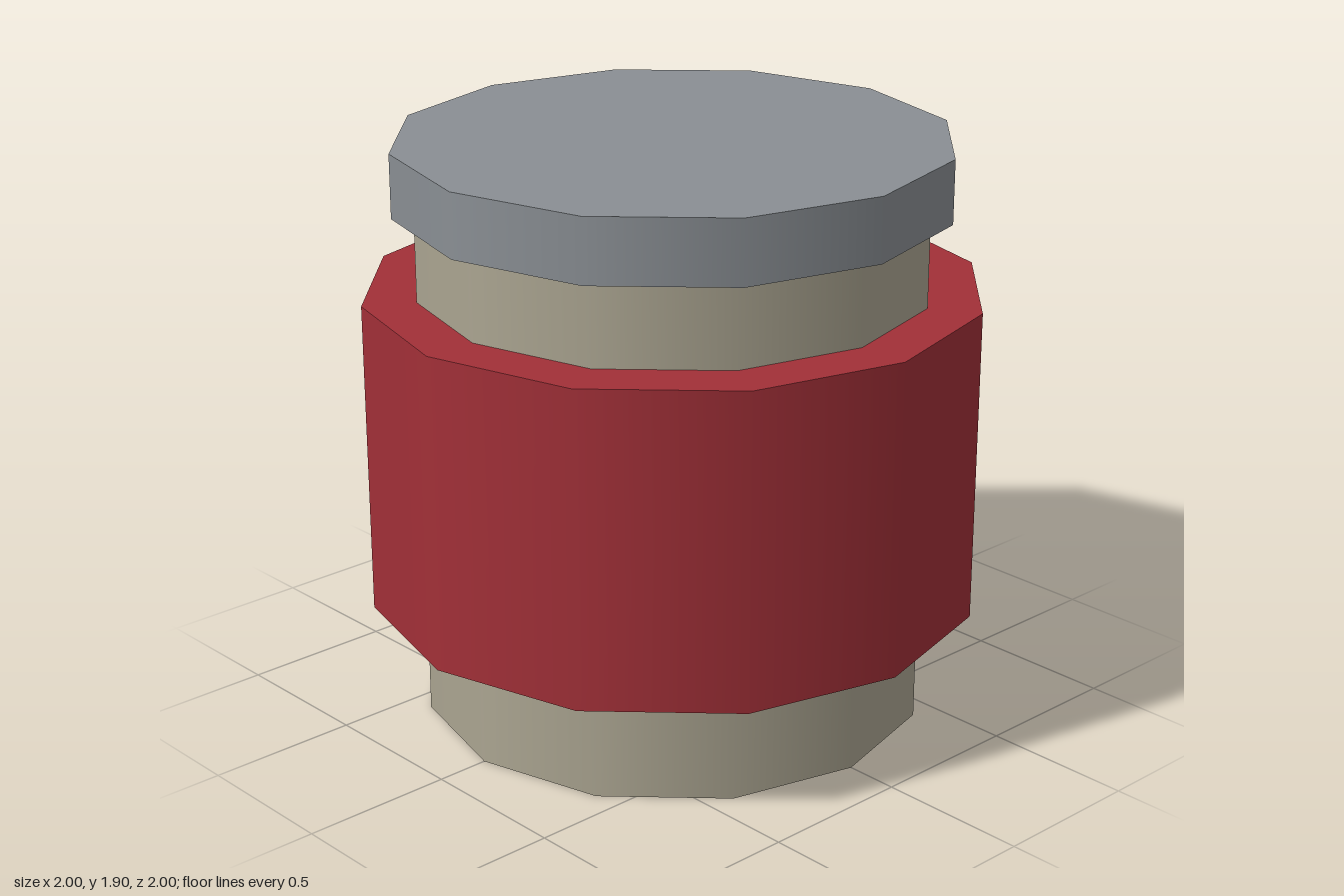
import * as THREE from 'three';

const SIDES = 12;

// Smooth-sided twelve-sided drum spanning two heights
function drum(name, radius, bottom, top, material) {
  const geometry = new THREE.CylinderGeometry(radius, radius, top - bottom, SIDES);
  const mesh = new THREE.Mesh(geometry, material);
  mesh.name = name;
  mesh.position.y = (bottom + top) / 2;
  return mesh;
}

export function createModel() {
  const beige = new THREE.MeshStandardMaterial({ color: 0xaba591 });
  beige.name = 'beige';
  const red = new THREE.MeshStandardMaterial({ color: 0xa23038 });
  red.name = 'red';
  const grey = new THREE.MeshStandardMaterial({ color: 0x8a8f94 });
  grey.name = 'grey';

  const model = new THREE.Group();
  model.name = 'jar';
  model.add(
    drum('body', 0.826, 0, 1.7, beige),
    drum('label band', 1, 0.382, 1.415, red),
    drum('lid', 0.896, 1.692, 1.9, grey),
  );
  return model;
}
